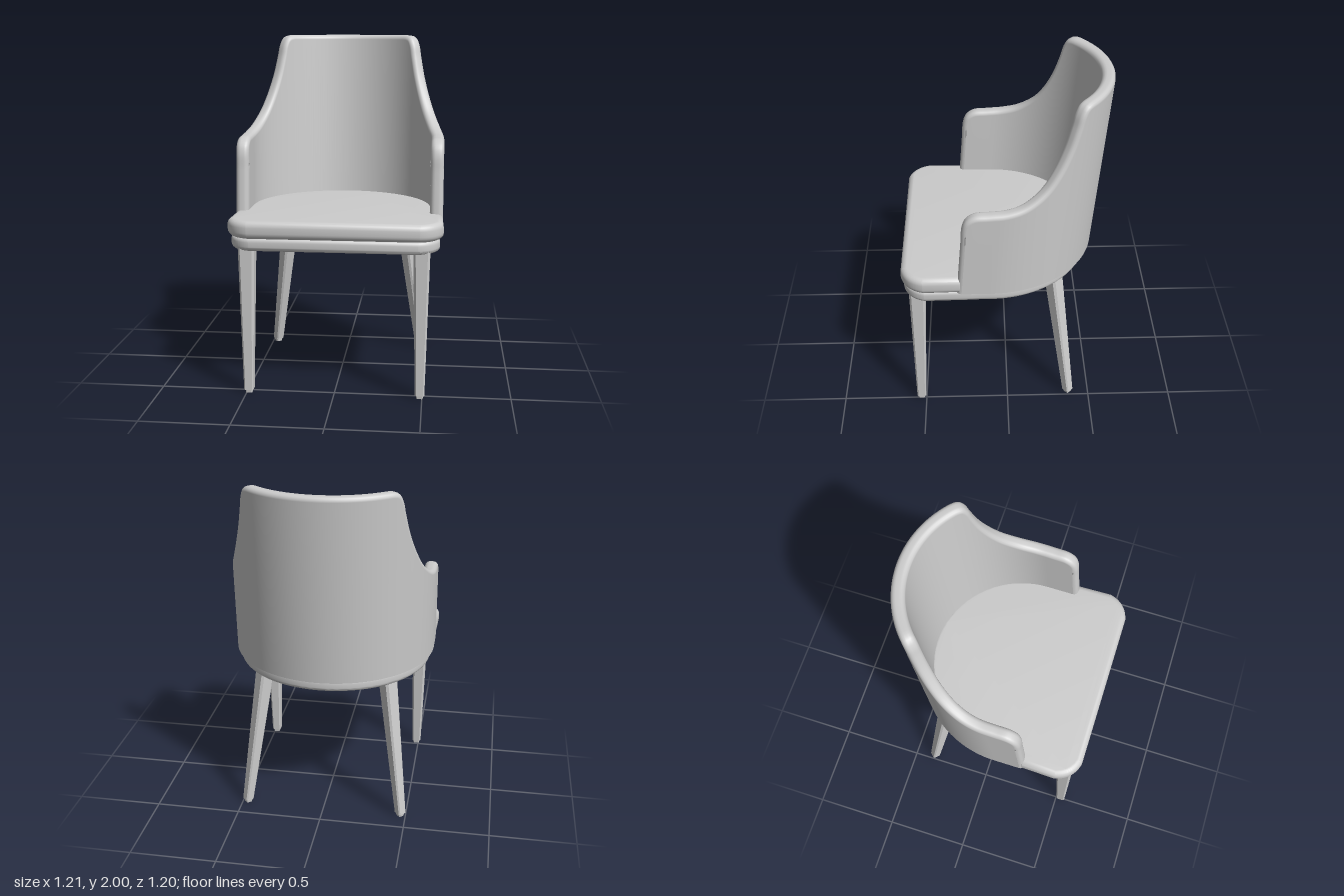
import * as THREE from 'three';
import { toCreasedNormals } from 'three/addons/utils/BufferGeometryUtils.js';

const BASE = 0.91; // height where the backrest starts

// Plan outline: rounded front corners, straight sides, elliptical back
function planShape(w, front, corner, sideEnd, rx, rz) {
  const s = new THREE.Shape();
  s.moveTo(-w + corner, -front);
  s.lineTo(w - corner, -front);
  s.quadraticCurveTo(w - corner * 0.2, -front + corner * 0.2, w, -front + corner);
  s.lineTo(w - 0.005, -sideEnd);
  s.lineTo(rx, -sideEnd + 0.03);
  s.lineTo(rx, -0.1);
  s.absellipse(0, -0.1, rx, rz, 0, Math.PI, false, 0);
  s.lineTo(-rx, -sideEnd + 0.03);
  s.lineTo(-w + 0.005, -sideEnd);
  s.lineTo(-w, -front + corner);
  s.quadraticCurveTo(-w + corner * 0.2, -front + corner * 0.2, -w + corner, -front);
  return s;
}

// Horizontal slab with rounded edges between two heights
function slab(shape, y0, y1, bevel) {
  const g = new THREE.ExtrudeGeometry(shape, {
    depth: y1 - y0 - 2 * bevel, bevelEnabled: true, bevelSize: bevel, bevelThickness: bevel,
    bevelOffset: -bevel, bevelSegments: 5, curveSegments: 36,
  });
  g.rotateX(-Math.PI / 2);
  g.translate(0, y0 + bevel, 0);
  return toCreasedNormals(g, 0.7);
}

// Wraps (distance along the wall, height, depth into the wall) round the U-shaped plan
function bend(s, y, d) {
  const straight = 0.187, R = 0.605, end = straight + Math.PI * R;
  let x, z;
  if (s < straight) { x = 0.6 - d; z = 0.287 - s; }
  else if (s > end) { x = -0.6 + d; z = 0.1 + s - end; }
  else {
    const a = (s - straight) / R;
    x = (0.6 - d) * Math.cos(a);
    z = 0.1 - (0.61 - d) * Math.sin(a);
  }
  return [x, y, z - 0.083 * (y - BASE)]; // lean backwards
}

// Curved backrest with arms: rounded wall section swept along its rim
function backrestGeometry() {
  const length = 2 * 0.187 + Math.PI * 0.605, thick = 0.076, r = 0.028, steps = 4;
  const half = [[0, BASE], [0, 1.1], [0, 1.25], [0, 1.34], [0.016, 1.392], [0.06, 1.425], [0.144, 1.433],
    [0.243, 1.442], [0.34, 1.47], [0.44, 1.54], [0.509, 1.63], [0.569, 1.75], [0.607, 1.87],
    [0.627, 1.945], [0.656, 1.987], [0.704, 2], [0.85, 2], [1, 2]];
  const pts = [...half, ...half.slice().reverse().map(([s, y]) => [length - s, y])];
  const rim = new THREE.CatmullRomCurve3(pts.map(([s, y]) => new THREE.Vector3(s, y, 0)));
  const n = 220, pos = [], idx = [];
  let m = 0;
  for (let i = 0; i <= n; i++) {
    const p = rim.getPointAt(i / n), t = rim.getTangentAt(i / n);
    const at = (inset, d) => bend(p.x + t.y * inset, Math.max(BASE, Math.min(2, p.y) - t.x * inset), d);
    const foot = d => bend(p.x + t.y * r, BASE, d);
    const ring = [foot(0)];
    for (let k = 0; k <= steps; k++) {
      const a = k / steps * Math.PI / 2;
      ring.push(at(r * (1 - Math.sin(a)), r * (1 - Math.cos(a))));
    }
    for (let k = steps; k >= 0; k--) {
      const a = k / steps * Math.PI / 2;
      ring.push(at(r * (1 - Math.sin(a)), thick - r * (1 - Math.cos(a))));
    }
    ring.push(foot(thick), foot(thick), foot(0));
    m = ring.length;
    ring.forEach(v => pos.push(...v));
  }
  for (let i = 0; i < n; i++) for (let j = 0; j < m - 1; j++) {
    if (j === m - 3) continue; // sharp lower edge
    const a = i * m + j, b = a + m;
    idx.push(a, b, a + 1, b, b + 1, a + 1);
  }
  const g = new THREE.BufferGeometry();
  g.setAttribute('position', new THREE.Float32BufferAttribute(pos, 3));
  g.setIndex(idx);
  g.computeVertexNormals();
  return g;
}

// Tapered square leg with chamfered corners, between two [x, y, z, halfWidth] ends
function legGeometry(top, bottom, turn) {
  const g = new THREE.CylinderGeometry(1, 1, 1, 8, 1);
  const p = g.attributes.position, c = Math.cos(turn), s = Math.sin(turn);
  for (let i = 0; i < p.count; i++) {
    const e = p.getY(i) > 0 ? top : bottom;
    let x = 0, z = 0;
    if (Math.hypot(p.getX(i), p.getZ(i)) > 0.5) {
      const k = Math.round(Math.atan2(p.getZ(i), p.getX(i)) / (Math.PI / 4));
      const q = Math.floor(k / 2) * Math.PI / 2;
      const [u, v] = k % 2 === 0 ? [1, 0.72] : [0.72, 1];
      x = e[3] * (u * Math.cos(q) - v * Math.sin(q));
      z = e[3] * (u * Math.sin(q) + v * Math.cos(q));
    }
    p.setXYZ(i, e[0] + x * c - z * s, e[1], e[2] + x * s + z * c);
  }
  return toCreasedNormals(g, 0.3);
}

export function createModel() {
  const chair = new THREE.Group();
  chair.name = 'chair';
  const grey = new THREE.MeshStandardMaterial({ color: 0xcccccc });
  grey.name = 'light grey';
  const add = (name, geometry, parent = chair) => {
    const mesh = new THREE.Mesh(geometry, grey);
    mesh.name = name;
    parent.add(mesh);
  };

  add('backrest', backrestGeometry());
  add('seatCushion', slab(planShape(0.605, 0.605, 0.13, 0.27, 0.56, 0.57), BASE, 1.01, 0.035));

  // Seat frame, open underneath
  const frame = planShape(0.585, 0.59, 0.12, 0.2, 0.578, 0.58);
  frame.holes.push(planShape(0.43, 0.45, 0.05, 0.2, 0.43, 0.43));
  add('seatFrame', slab(frame, 0.84, 0.915, 0.025));

  // Legs with small glides
  for (const side of [1, -1]) {
    const name = side > 0 ? 'left' : 'right';
    const legs = [
      ['FrontLeg', [0.488, 0.87, 0.515, 0.047], [0.487, 0.02, 0.53, 0.027], 0],
      ['BackLeg', [0.361, 0.87, -0.266, 0.044], [0.468, 0.02, -0.374, 0.026], side * Math.PI / 4],
    ];
    for (const [part, top, bottom, turn] of legs) {
      const leg = new THREE.Group();
      leg.name = name + part;
      top[0] *= side;
      bottom[0] *= side;
      const [x, , z] = bottom;
      add('leg', legGeometry(top, bottom, turn), leg);
      add('glide', legGeometry([x, 0.022, z, 0.02], [x, 0, z, 0.018], turn), leg);
      chair.add(leg);
    }
  }
  return chair;
}
